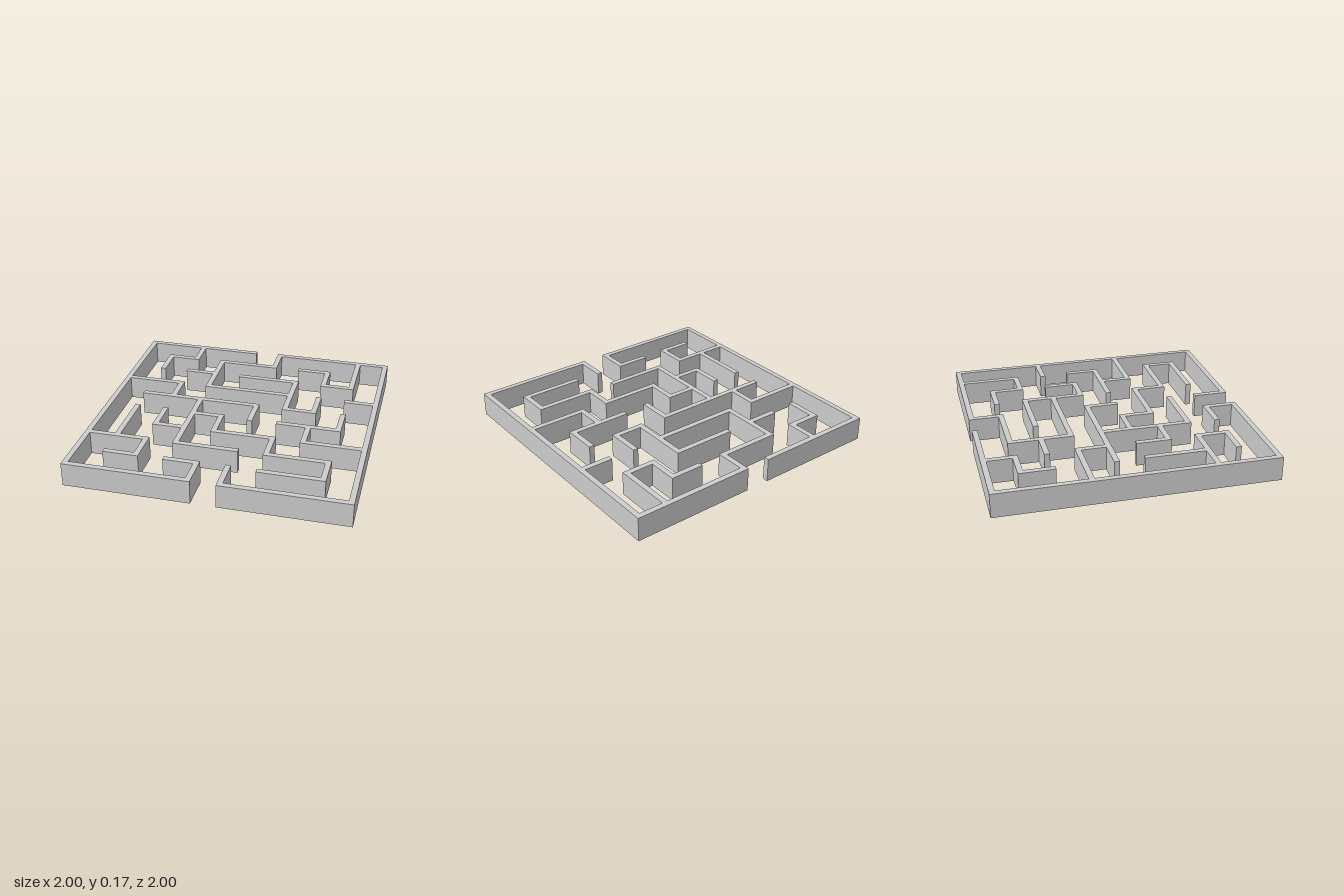
import * as THREE from 'three';

const SIZE = 2, CELLS = 9, THICK = 0.04, HEIGHT = 0.175;
const PITCH = (SIZE - THICK) / CELLS;
const at = (i) => -SIZE / 2 + THICK / 2 + i * PITCH;

// Walls running along x, per grid row (back to front): [start, end] grid lines
const ROWS = [
  [[0, 4], [5, 9]],
  [[1, 2], [3, 5], [6, 7]],
  [[2, 3], [4, 6], [7, 8]],
  [[0, 2], [3, 6], [8, 9]],
  [[1, 5], [6, 7]],
  [[3, 4], [6, 8]],
  [[2, 3], [4, 6], [7, 9]],
  [[0, 2], [3, 5], [6, 8]],
  [[1, 2], [3, 4], [6, 8]],
  [[0, 4], [5, 9]],
];

// Walls running along z, per grid column (-x to +x): [start, end] grid lines
const COLUMNS = [
  [[0, 9]],
  [[1, 2], [5, 7]],
  [[0, 1], [3, 4], [5, 6], [7, 8]],
  [[1, 3], [4, 7]],
  [[5, 6], [8, 9]],
  [[0, 1], [4, 5], [8, 9]],
  [[2, 4], [6, 7]],
  [[1, 2], [3, 4], [5, 6]],
  [[0, 2], [4, 5], [7, 8]],
  [[0, 9]],
];

export function createModel() {
  const model = new THREE.Group();
  model.name = 'maze';
  const material = new THREE.MeshStandardMaterial({ color: 0xcccccc });

  // Column walls own the corners; row walls own the joints they run straight through
  const columnCovers = (i, j) => COLUMNS[i].some(([a, b]) => a <= j && j <= b);
  const rowPasses = (i, j) => ROWS[j].some(([a, b]) => a < i && i < b);

  // One wall along a grid line; an end meeting another wall stops at its face
  function addWall(line, [start, end], alongX, startMeets, endMeets) {
    const half = THICK / 2;
    const from = at(start) + (startMeets ? half : -half);
    const to = at(end) + (endMeets ? -half : half);
    const length = to - from, middle = (from + to) / 2;
    const geometry = alongX
      ? new THREE.BoxGeometry(length, HEIGHT, THICK)
      : new THREE.BoxGeometry(THICK, HEIGHT, length);
    const wall = new THREE.Mesh(geometry, material);
    wall.name = line === 0 || line === CELLS ? 'outerWall' : 'innerWall';
    if (alongX) wall.position.set(middle, HEIGHT / 2, at(line));
    else wall.position.set(at(line), HEIGHT / 2, middle);
    model.add(wall);
  }

  ROWS.forEach((runs, j) => runs.forEach((run) =>
    addWall(j, run, true, columnCovers(run[0], j), columnCovers(run[1], j))));
  COLUMNS.forEach((runs, i) => runs.forEach((run) =>
    addWall(i, run, false, rowPasses(i, run[0]), rowPasses(i, run[1]))));

  return model;
}
